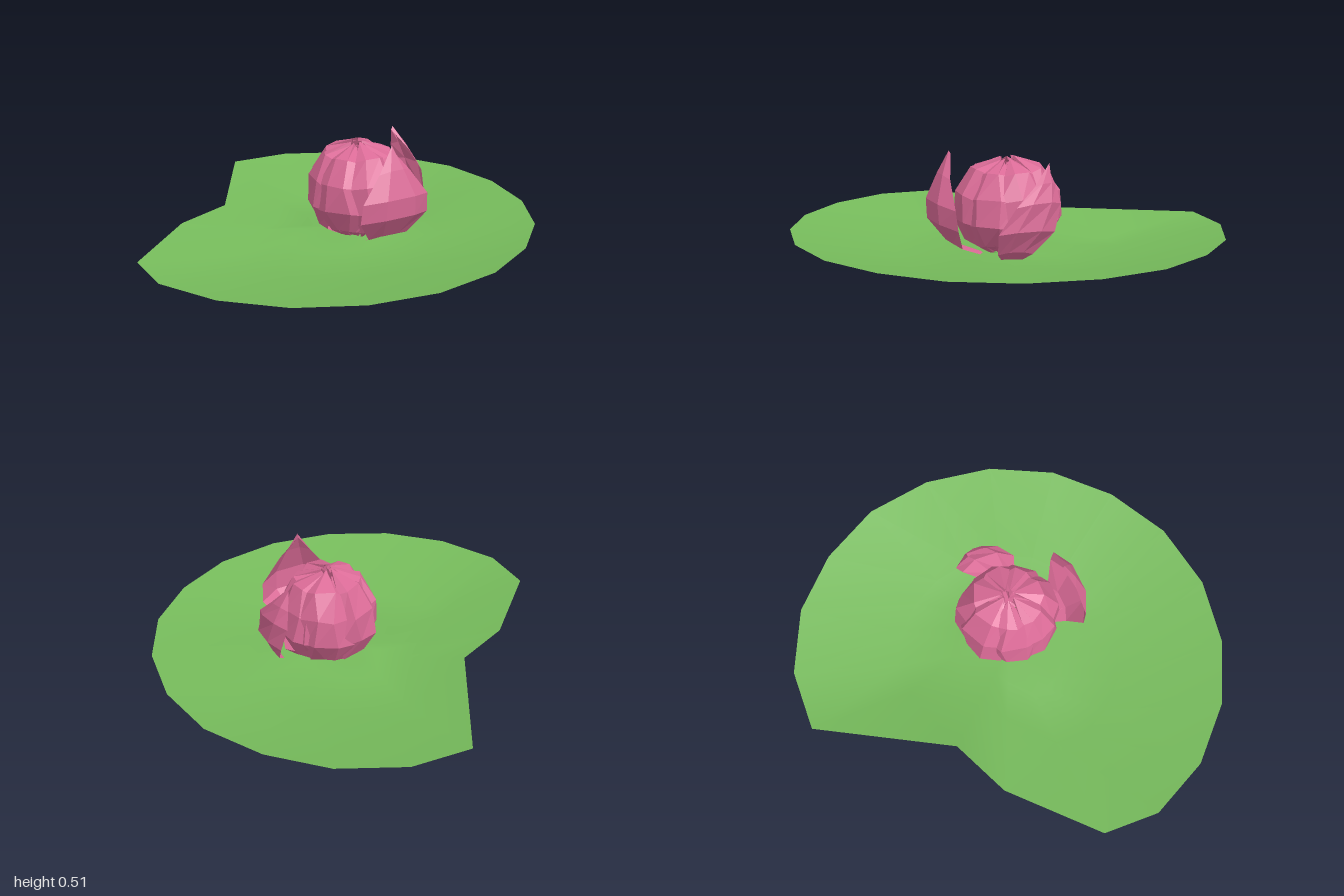
import * as THREE from 'three';

// Build an indexed grid of points, rows of equal length
function gridGeometry(rows) {
  const n = rows[0].length;
  const index = [];
  for (let i = 0; i < rows.length - 1; i++) {
    for (let j = 0; j < n - 1; j++) {
      const a = i * n + j, b = a + n;
      index.push(a, b, a + 1, b, b + 1, a + 1);
    }
  }
  const g = new THREE.BufferGeometry();
  g.setAttribute('position', new THREE.Float32BufferAttribute(rows.flat(2), 3));
  g.setIndex(index);
  g.computeVertexNormals();
  return g;
}

// Rim of the pad as x, z pairs, with the notch at the end
const RIM = [
  [-0.39, -0.91], [-0.12, -1], [0.19, -0.975], [0.46, -0.85], [0.69, -0.65], [0.84, -0.38],
  [0.905, -0.07], [0.875, 0.24], [0.75, 0.52], [0.55, 0.76], [0.28, 0.925], [-0.02, 0.995],
  [-0.32, 0.97], [-0.6, 0.85], [-0.82, 0.645], [-0.905, 0.4], [-0.7, -0.04], [-0.49, -0.25],
];

// Shallow dish with a low ridge across the middle
function padGeometry() {
  const ridge = z => 0.022 + 0.04 * Math.max(0, 1 - Math.abs(z) / 0.35);
  const pos = [0, 0.06, 0];
  const index = [];
  const n = RIM.length;
  for (const s of [0.25, 0.52, 1]) {
    for (const [x, z] of RIM) pos.push(x * s, s === 1 ? 0.11 + 0.008 * x : ridge(z * s), z * s);
  }
  for (let j = 0; j < n; j++) {
    const k = (j + 1) % n;
    index.push(0, 1 + k, 1 + j);
    for (let r = 0; r < 2; r++) {
      const a = 1 + r * n + j, b = 1 + r * n + k;
      index.push(a, b, a + n, b, b + n, a + n);
    }
  }
  const g = new THREE.BufferGeometry();
  g.setAttribute('position', new THREE.Float32BufferAttribute(pos, 3));
  g.setIndex(index);
  g.computeVertexNormals();
  return g;
}

// Cupped petal: profile rows are [radius, height, half angle]; lean twists the tip sideways
function petalGeometry(profile, azimuth, { scale = 1, curl = 0.05, lean = 0, rough = 0, rand } = {}) {
  const top = profile[profile.length - 1][1];
  const rows = profile.map(([r, y, half]) => [-1, -0.4, 0.4, 1].map(u => {
    const edge = Math.abs(u) === 1;
    const jitter = rand && half > 0 ? (rand() - 0.5) * rough : 0;
    const a = azimuth + u * half + lean * (y / top) + jitter * 2;
    const rr = r * scale * (1 - (edge ? curl : 0) + jitter);
    const drop = edge ? -0.015 : 0;
    return [rr * Math.cos(a), Math.max(0.005, y * (0.55 + 0.45 * scale) + drop), rr * Math.sin(a)];
  }));
  return gridGeometry(rows);
}

export function createModel() {
  const model = new THREE.Group();
  const padGreen = new THREE.MeshStandardMaterial({ color: 0x76bb5b, side: THREE.DoubleSide });
  padGreen.name = 'leaf green';
  const pink = new THREE.MeshStandardMaterial({ color: 0xdb6b97, side: THREE.DoubleSide, flatShading: true });
  pink.name = 'petal pink';

  const add = (parent, geometry, material, name) => {
    const mesh = new THREE.Mesh(geometry, material);
    mesh.name = name;
    parent.add(mesh);
    return mesh;
  };

  add(model, padGeometry(), padGreen, 'lilyPad');

  const flower = new THREE.Group();
  flower.name = 'flower';
  flower.position.set(0.1, 0, 0);
  model.add(flower);

  let seed = 7;
  const rand = () => (seed = (seed * 16807) % 2147483647) / 2147483647;

  // Closed bud of overlapping petals in three layers
  const bud = [
    [0.05, 0.03, 0.2], [0.185, 0.1, 0.42], [0.24, 0.2, 0.6],
    [0.225, 0.32, 0.58], [0.16, 0.43, 0.5], [0.03, 0.475, 0.15],
  ];
  const layers = [
    { count: 7, scale: 1, start: 0.3, name: 'outerBudPetal' },
    { count: 6, scale: 0.88, start: 0.75, name: 'middleBudPetal' },
    { count: 5, scale: 0.62, start: 0.2, name: 'innerBudPetal' },
  ];
  for (const { count, scale, start, name } of layers) {
    for (let i = 0; i < count; i++) {
      const azimuth = start + (i / count) * Math.PI * 2;
      const size = scale * (0.95 + 0.07 * rand());
      const g = petalGeometry(bud, azimuth, { scale: size, curl: 0.1, lean: 0.1, rough: 0.1, rand });
      add(flower, g, pink, name);
    }
  }

  // Broad open petal at the front
  add(flower, petalGeometry([
    [0.1, 0.04, 0.2], [0.28, 0.11, 0.38], [0.36, 0.21, 0.53],
    [0.365, 0.3, 0.5], [0.32, 0.42, 0.26], [0.275, 0.52, 0],
  ], 1.16, { curl: 0.03 }), pink, 'frontOpenPetal');

  // Narrower open petal at the left, tip swept backwards
  add(flower, petalGeometry([
    [0.17, 0, 0], [0.27, 0.1, 0.3], [0.325, 0.2, 0.42],
    [0.325, 0.32, 0.36], [0.3, 0.4, 0.2], [0.27, 0.48, 0],
  ], 0, { curl: 0.04, lean: -0.75 }), pink, 'sideOpenPetal');

  // Pointed underside of the flower, showing below the pad
  const base = add(flower, new THREE.ConeGeometry(0.12, 0.1, 6, 1, true), pink, 'flowerBase');
  base.rotation.x = Math.PI;
  base.position.set(0.1, 0.06, -0.02);

  // Small green sepals around the base and stamens in the heart
  for (let i = 0; i < 5; i++) {
    const a = (i / 5) * Math.PI * 2 + 0.5;
    const sepal = add(flower, new THREE.ConeGeometry(0.02, 0.13, 4), padGreen, 'sepal');
    sepal.position.set(0.1 + 0.06 * Math.cos(a), 0.09, 0.06 * Math.sin(a));
    sepal.rotation.set(0.5 * Math.sin(a), 0, -0.5 * Math.cos(a));
  }
  return model;
}
